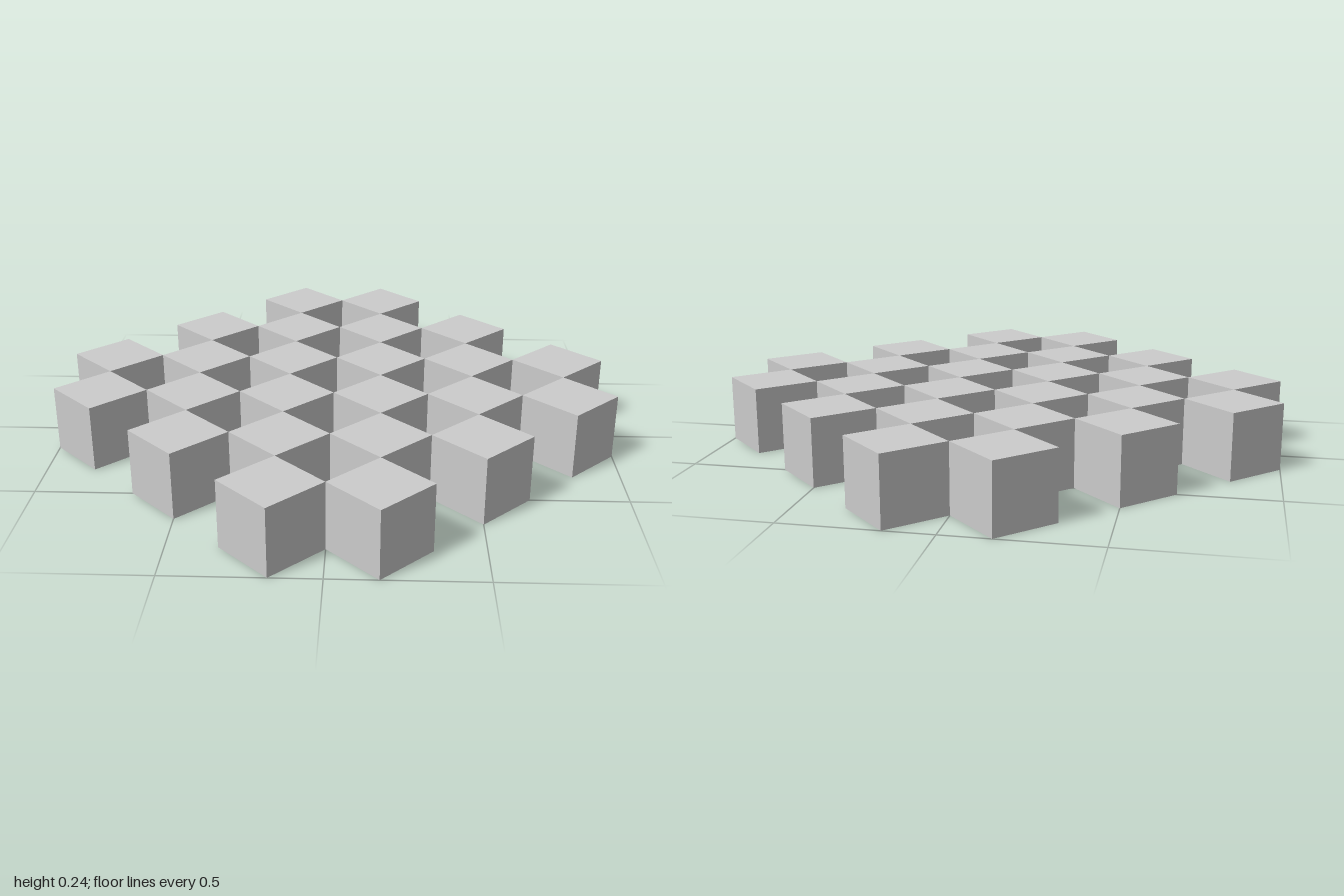
import * as THREE from 'three';

export function createModel() {
  const group = new THREE.Group();
  group.name = 'cubeLattice';

  const pitch = 1 / 3;               // spacing equals the cube's diagonal
  const side = pitch / Math.SQRT2;
  const cube = new THREE.BoxGeometry(side, side, side);
  cube.rotateY(Math.PI / 4);
  cube.translate(0, side / 2, 0);
  const material = new THREE.MeshStandardMaterial({ color: 0xcccccc, flatShading: true });

  // Cubes touching corner to corner, kept inside a diamond outline
  for (let row = 0; row < 6; row++) {
    for (let col = 0; col < 6; col++) {
      const x = (col - 2.5) * pitch;
      const z = (row - 2.5) * pitch;
      if (Math.abs(x) + Math.abs(z) > 1.01) continue;
      const mesh = new THREE.Mesh(cube, material);
      mesh.name = `cubeRow${row + 1}Column${col + 1}`;
      mesh.position.set(x, 0, z);
      group.add(mesh);
    }
  }
  return group;
}
